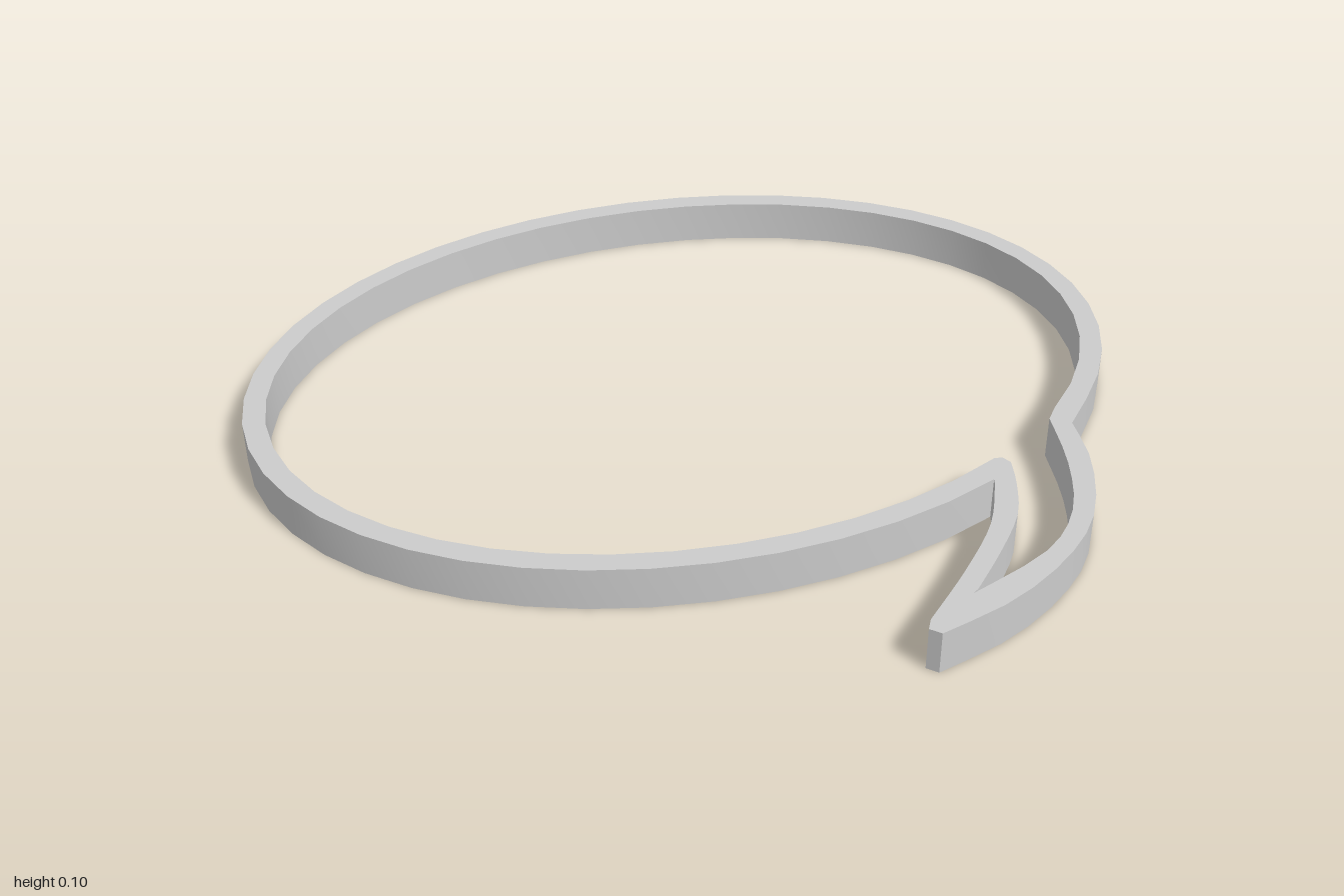
import * as THREE from 'three';
import { toCreasedNormals } from 'three/addons/utils/BufferGeometryUtils.js';

const HEIGHT = 0.1;
const CENTRE_Z = -0.167;

// Points along an elliptical arc in plan (x, z)
function arc(rx, rz, from, to, steps = 44) {
  return Array.from({ length: steps + 1 }, (_, i) => {
    const t = from + (to - from) * i / steps;
    return new THREE.Vector2(rx * Math.cos(t), CENTRE_Z + rz * Math.sin(t));
  });
}

// Smooth curve through a few plan points
function spline(...pts) {
  return new THREE.SplineCurve(pts.map(p => new THREE.Vector2(...p))).getPoints(12);
}

export function createModel() {
  const group = new THREE.Group();
  group.name = 'speechBubbleFrame';
  const turn = Math.PI * 2;

  // Outer edge: oval, outside of the tail, tip, then back up to the notch
  const outline = new THREE.Shape([
    ...arc(1, 0.743, 1.07, turn + 0.64),
    ...spline([0.73, 0.35], [0.705, 0.49], [0.63, 0.65], [0.52, 0.76], [0.36, 0.85], [0.18, 0.9]),
    new THREE.Vector2(0.16, 0.88),
    ...spline([0.175, 0.855], [0.3, 0.74], [0.41, 0.62], [0.475, 0.5]),
  ]);

  // Inner edge: the same path, one wall thickness inside
  outline.holes.push(new THREE.Path([
    ...arc(0.95, 0.693, 1.0, turn + 0.71),
    ...spline([0.69, 0.32], [0.655, 0.48], [0.59, 0.63], [0.48, 0.735], [0.285, 0.81]),
    ...spline([0.3, 0.8], [0.39, 0.71], [0.475, 0.61], [0.52, 0.51], [0.54, 0.44]),
    new THREE.Vector2(0.53, 0.42),
  ]));

  // Lay the extruded wall flat on the ground
  const geometry = new THREE.ExtrudeGeometry(outline, { depth: HEIGHT, bevelEnabled: false });
  geometry.rotateX(Math.PI / 2).translate(0, HEIGHT, 0);

  const wall = new THREE.Mesh(
    toCreasedNormals(geometry, 0.5),
    new THREE.MeshStandardMaterial({ color: 0xcccccc }),
  );
  wall.name = 'bubbleWall';
  group.add(wall);
  return group;
}
